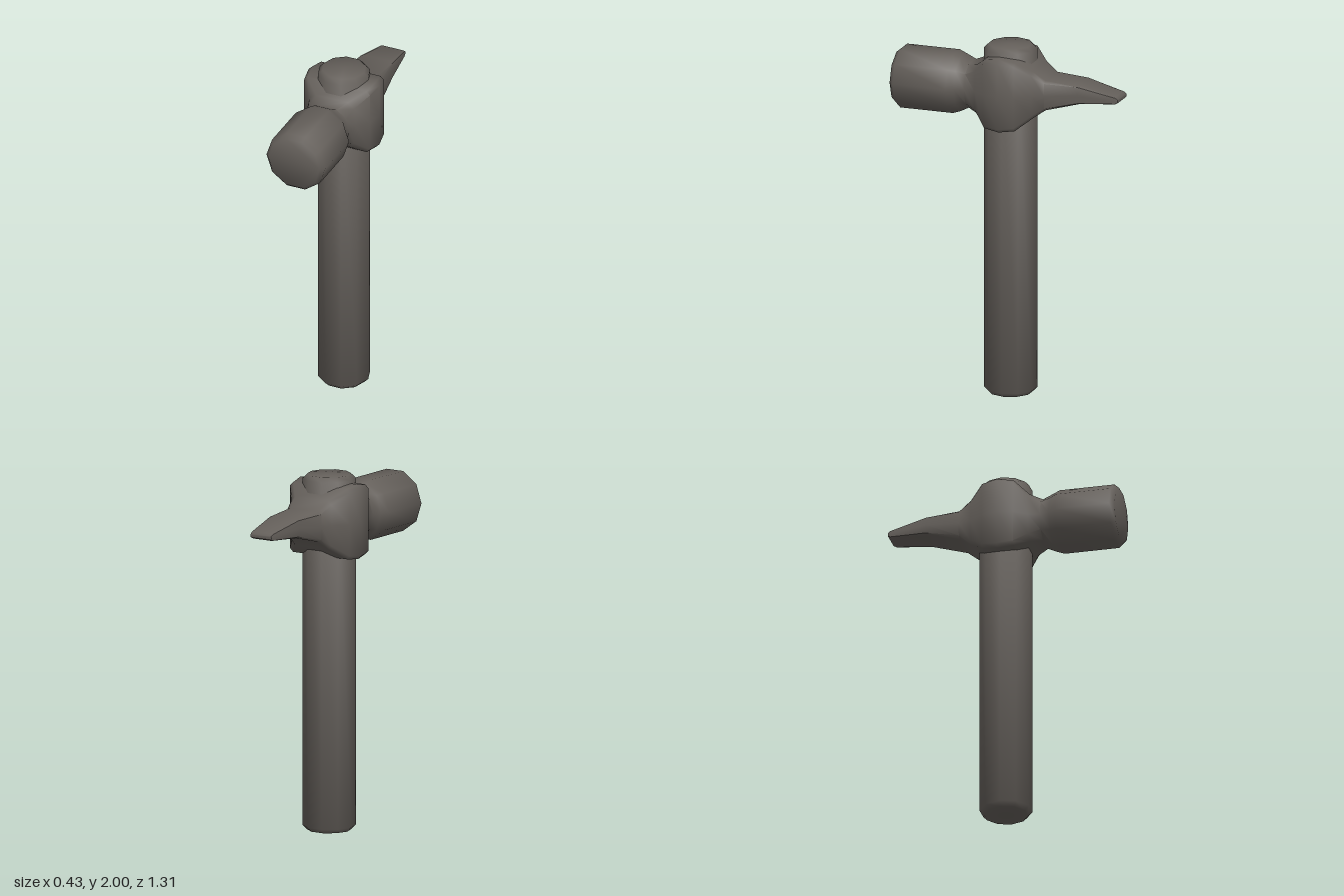
import * as THREE from 'three';
import { toCreasedNormals } from 'three/addons/utils/BufferGeometryUtils.js';

const SIDES = 10;

// Cross-section point: s blends from a decagon (0) to a chamfered rectangle (1)
function sectionPoint(i, s) {
  const a = (i / SIDES) * Math.PI * 2;
  const cx = Math.cos(a);
  const cy = Math.sin(a) / Math.sin(Math.PI * 0.4);
  const steep = Math.abs(cy) > 0.9;
  const qx = Math.sign(cx) * (steep ? 0.9 : 1);
  const qy = Math.abs(cy) < 0.01 ? 0 : Math.sign(cy) * (steep ? 1 : 0.9);
  return [cx + (qx - cx) * s, cy + (qy - cy) * s];
}

// Loft closed rings along z, from back to front; ring = [z, halfWidth, bottom, top, squareness]
function loft(rings) {
  const pos = [], idx = [];
  for (const [z, w, y0, y1, s] of rings) {
    for (let i = 0; i < SIDES; i++) {
      const [u, v] = sectionPoint(i, s);
      pos.push(u * w, (y0 + y1) / 2 + v * (y1 - y0) / 2, z);
    }
  }
  for (let r = 0; r < rings.length - 1; r++) {
    for (let i = 0; i < SIDES; i++) {
      const a = r * SIDES + i, b = r * SIDES + (i + 1) % SIDES;
      idx.push(a, b, b + SIDES, a, b + SIDES, a + SIDES);
    }
  }
  // End caps
  const last = (rings.length - 1) * SIDES;
  for (let i = 1; i < SIDES - 1; i++) {
    idx.push(0, i + 1, i);
    idx.push(last, last + i, last + i + 1);
  }
  const geo = new THREE.BufferGeometry();
  geo.setAttribute('position', new THREE.Float32BufferAttribute(pos, 3));
  geo.setIndex(idx);
  return toCreasedNormals(geo, 1.0);
}

export function createModel() {
  const group = new THREE.Group();
  group.name = 'hammer';
  const darkIron = new THREE.MeshStandardMaterial({ color: 0x645f5a });
  darkIron.name = 'darkIron';

  // Head: peen wedge, eye, neck and striking face
  const head = new THREE.Mesh(loft([
    [-0.655, 0.07, 1.742, 1.762, 0.9],
    [-0.64, 0.072, 1.733, 1.773, 0.9],
    [-0.43, 0.1, 1.716, 1.825, 0.8],
    [-0.24, 0.119, 1.665, 1.835, 0.8],
    [-0.17, 0.137, 1.615, 1.885, 0.85],
    [-0.09, 0.2, 1.553, 1.945, 1],
    [0, 0.215, 1.54, 1.96, 1],
    [0.09, 0.2, 1.553, 1.945, 1],
    [0.16, 0.147, 1.606, 1.89, 0.6],
    [0.225, 0.136, 1.622, 1.87, 0.2],
    [0.28, 0.152, 1.592, 1.902, 0],
    [0.32, 0.179, 1.58, 1.916, 0],
    [0.63, 0.179, 1.58, 1.916, 0],
    [0.655, 0.156, 1.601, 1.895, 0],
  ]), darkIron);
  head.name = 'head';
  group.add(head);

  // Handle: ten-sided shaft with bevelled ends, passing through the eye
  const profile = [[0, 0], [0.122, 0], [0.147, 0.025], [0.147, 1.975], [0.122, 2], [0, 2]]
    .map(([r, y]) => new THREE.Vector2(r, y));
  const shaft = new THREE.LatheGeometry(profile, SIDES, Math.PI / 2);
  const handle = new THREE.Mesh(toCreasedNormals(shaft, 1.0), darkIron);
  handle.name = 'handle';
  group.add(handle);

  return group;
}
